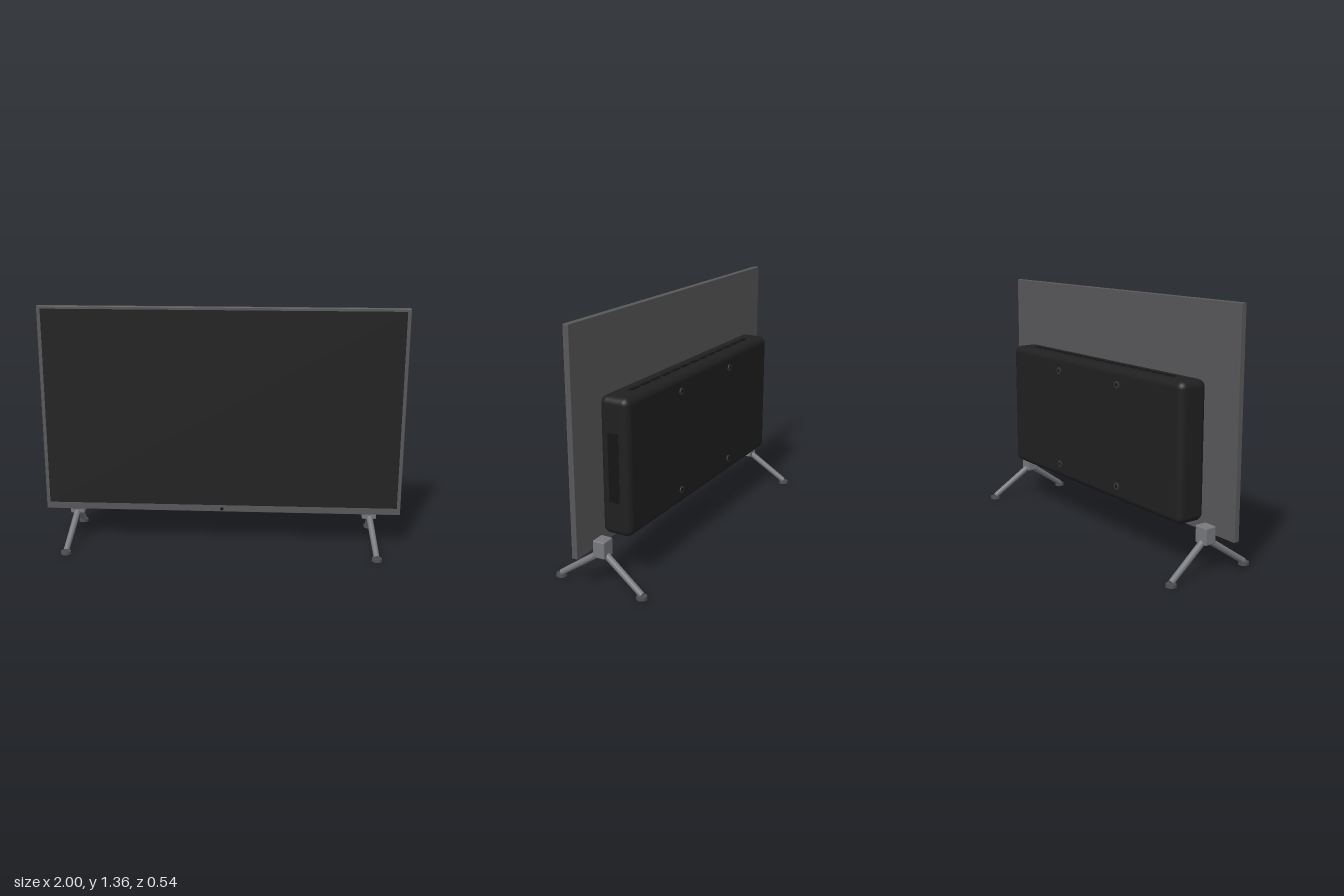
import * as THREE from 'three';
import { RoundedBoxGeometry } from 'three/addons/geometries/RoundedBoxGeometry.js';

const mat = (name, color) => {
  const m = new THREE.MeshStandardMaterial({ color });
  m.name = name;
  return m;
};

export function createModel() {
  const frameGrey = mat('frame grey', 0x58585a);
  const screenBlack = mat('screen black', 0x222223);
  const housingBlack = mat('housing black', 0x202021);
  const detailBlack = mat('detail black', 0x151516);
  const legGrey = mat('leg grey', 0x77787c);
  const footGrey = mat('foot grey', 0x4c4c4f);
  const screwGrey = mat('screw grey', 0x38383a);

  const model = new THREE.Group();
  model.name = 'television';
  const add = (name, geometry, material, x, y, z, parent = model) => {
    const mesh = new THREE.Mesh(geometry, material);
    mesh.name = name;
    mesh.position.set(x, y, z);
    parent.add(mesh);
    return mesh;
  };

  // Flat panel, screen and sensor
  add('panel', new RoundedBoxGeometry(2, 1.16, 0.032, 2, 0.003), frameGrey, 0, 0.78, 0.051);
  add('screen', new THREE.BoxGeometry(1.96, 1.105, 0.004), screenBlack, 0, 0.792, 0.0665);
  add('sensor', new THREE.CylinderGeometry(0.009, 0.009, 0.008, 20), detailBlack, 0, 0.217, 0.068)
    .rotation.x = Math.PI / 2;

  // Rear housing with rounded edges
  add('housing', new RoundedBoxGeometry(1.57, 0.72, 0.167, 6, 0.038), housingBlack, 0, 0.616, -0.0475);

  // Row of vents along the top of the housing
  for (let i = -6; i <= 6; i++) {
    add('vent', new THREE.BoxGeometry(0.075, 0.009, 0.02), detailBlack, i * 0.1, 0.9765, -0.052);
  }

  // Connector cover on the left end
  add('connectorCover', new THREE.BoxGeometry(0.006, 0.36, 0.06), detailBlack, 0.785, 0.615, -0.044);

  // Four mounting screws on the back
  for (const x of [-0.275, 0.275]) {
    for (const y of [0.34, 0.89]) {
      add('mountRing', new THREE.CylinderGeometry(0.019, 0.019, 0.01, 24), screwGrey, x, y, -0.132)
        .rotation.x = Math.PI / 2;
      add('mountHole', new THREE.CylinderGeometry(0.01, 0.01, 0.01, 20), detailBlack, x, y, -0.1325)
        .rotation.x = Math.PI / 2;
    }
  }

  // Two stands, each a block with splayed front and rear legs
  for (const side of [-1, 1]) {
    const stand = new THREE.Group();
    stand.name = side > 0 ? 'leftStand' : 'rightStand';
    model.add(stand);
    add('standBlock', new RoundedBoxGeometry(0.08, 0.092, 0.068, 3, 0.007), legGrey, side * 0.833, 0.205, 0.001, stand);
    for (const dir of [-1, 1]) {
      const top = new THREE.Vector3(side * 0.834, 0.18, dir * 0.005);
      const bottom = new THREE.Vector3(side * 0.86, 0.018, dir * 0.242);
      const axis = top.clone().sub(bottom);
      const leg = add('leg', new THREE.CylinderGeometry(0.018, 0.016, axis.length(), 20), legGrey, 0, 0, 0, stand);
      leg.position.copy(top).add(bottom).multiplyScalar(0.5);
      leg.quaternion.setFromUnitVectors(new THREE.Vector3(0, 1, 0), axis.normalize());
      add('foot', new THREE.CylinderGeometry(0.027, 0.029, 0.015, 24), footGrey, side * 0.862, 0.0075, dir * 0.243, stand);
    }
  }
  return model;
}
